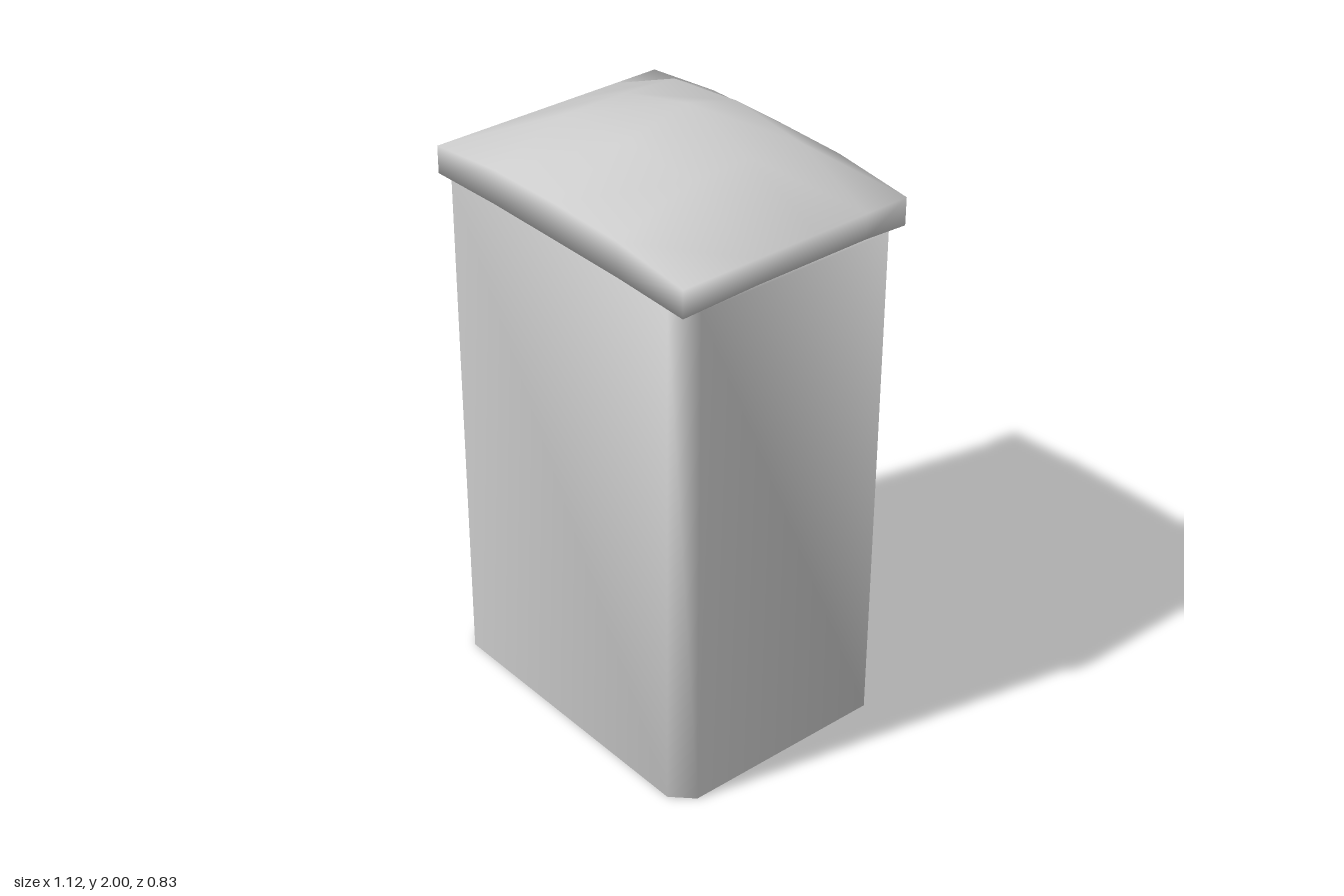
import * as THREE from 'three';
import { mergeVertices } from 'three/addons/utils/BufferGeometryUtils.js';

const W = 0.56, D = 0.415, BODY_TOP = 1.715;

// Weld shared corners so the shading runs softly over every edge
function soften(geometry) {
  geometry.deleteAttribute('normal');
  geometry.deleteAttribute('uv');
  const welded = mergeVertices(geometry, 1e-4);
  welded.computeVertexNormals();
  return welded;
}

// Upright box with chamfered vertical corners
function bodyGeometry() {
  const c = 0.065;
  const outline = new THREE.Shape([
    [W - c, -D], [W, c - D], [W, D - c], [W - c, D],
    [c - W, D], [-W, D - c], [-W, c - D], [c - W, -D],
  ].map(([x, y]) => new THREE.Vector2(x, y)));
  const g = new THREE.ExtrudeGeometry(outline, { depth: BODY_TOP, bevelEnabled: false });
  g.rotateX(-Math.PI / 2);
  return soften(g);
}

// Square-cornered slab whose top rises to a low, slightly off-centre peak
function lidGeometry() {
  const xs = [-W, -0.28, 0, 0.28, W];
  const zs = [-D, -0.26, -0.07, 0.15, D];
  // Heights by distance from the middle column, from back to front
  const heights = [
    [1.84, 1.95, 2.0, 1.95, 1.84],
    [1.835, 1.92, 1.93, 1.93, 1.835],
    [1.805, 1.805, 1.805, 1.805, 1.805],
  ];
  const g = new THREE.BoxGeometry(2, 2, 2, 4, 1, 4);
  const p = g.attributes.position;
  for (let n = 0; n < p.count; n++) {
    const i = Math.round((p.getX(n) + 1) * 2);
    const j = Math.round((p.getZ(n) + 1) * 2);
    const corner = i % 4 === 0 && j % 4 === 0;
    const y = p.getY(n) > 0 ? heights[Math.abs(i - 2)][j] : (corner ? BODY_TOP : 1.723);
    p.setXYZ(n, xs[i], y, zs[j]);
  }
  return soften(g);
}

export function createModel() {
  const model = new THREE.Group();
  model.name = 'liddedBin';
  const material = new THREE.MeshStandardMaterial({ color: 0xcccccc });
  for (const [name, geometry] of [['body', bodyGeometry()], ['lid', lidGeometry()]]) {
    const mesh = new THREE.Mesh(geometry, material);
    mesh.name = name;
    model.add(mesh);
  }
  return model;
}
